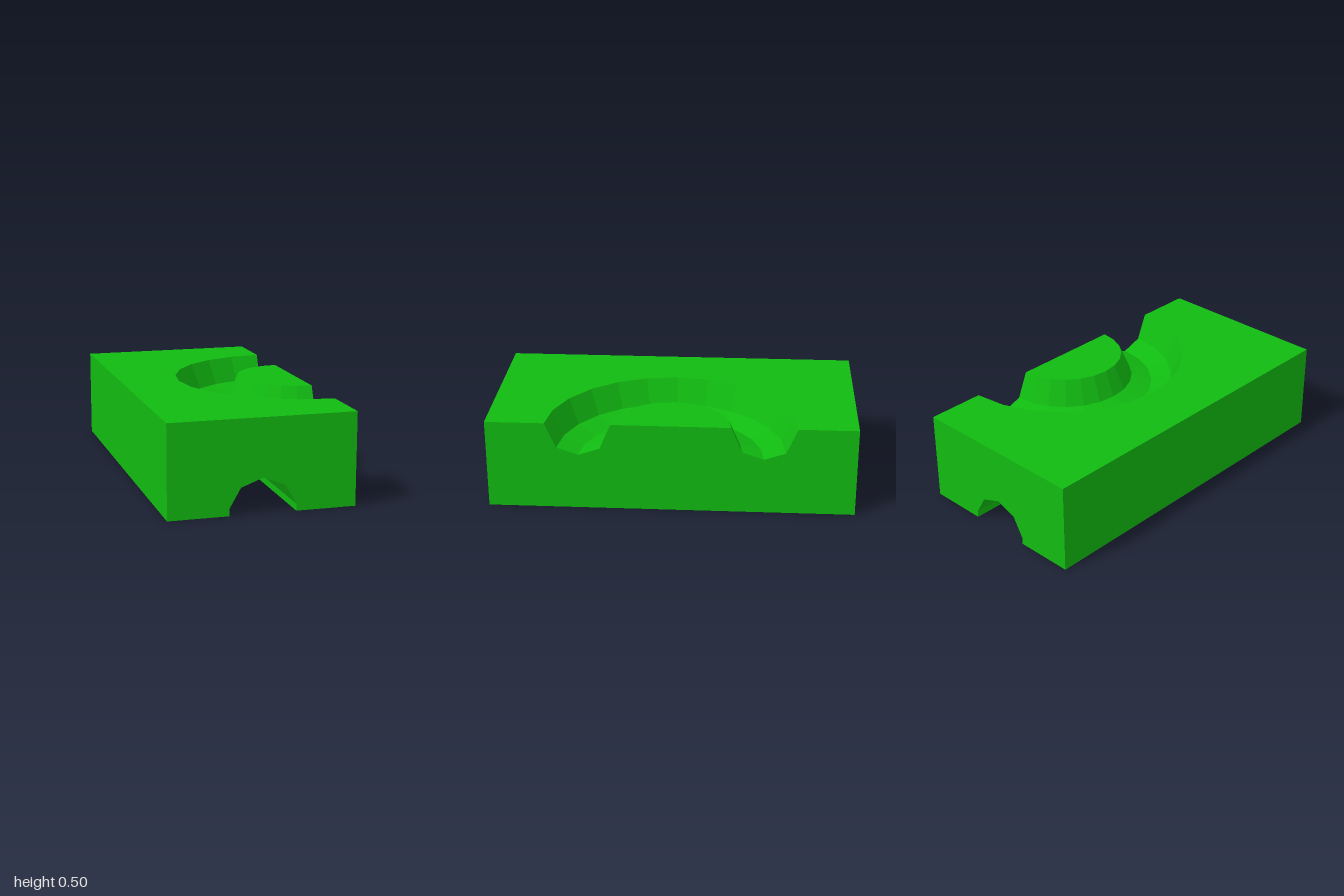
import * as THREE from 'three';

const HEIGHT = 0.5, HALF_W = 0.5, HALF_L = 1;
const ARC_STEPS = 12;

// Channel under the block, from right to left
const channel = [[0.178, 0], [0.178, 0.037], [0.117, 0.144], [0, 0.188], [-0.117, 0.144], [-0.178, 0.037], [-0.178, 0]];
// Curved groove section as [radius, y], from the outer lip to the inner lip
const groove = [[0.678, 0.5], [0.617, 0.358], [0.5, 0.318], [0.383, 0.358], [0.322, 0.5]];

const toShape = (pts) => new THREE.Shape(pts.map(([x, y]) => new THREE.Vector2(x, y)));

// Half ring of points bulging to -x, centred on the +x edge, from +y to -y
function halfRing(radius) {
  return Array.from({ length: ARC_STEPS + 1 }, (_, i) => {
    const a = (i / ARC_STEPS) * Math.PI;
    return [HALF_W - radius * Math.sin(a), radius * Math.cos(a)];
  });
}

// Walls swept along z from an open section
function sweepZ(pts) {
  const pos = [];
  for (let i = 0; i < pts.length - 1; i++) {
    const a = pts[i], b = pts[i + 1], L = HALF_L;
    pos.push(...a, -L, ...b, L, ...b, -L, ...a, -L, ...a, L, ...b, L);
  }
  const geo = new THREE.BufferGeometry();
  geo.setAttribute('position', new THREE.Float32BufferAttribute(pos, 3));
  geo.computeVertexNormals();
  return geo;
}

export function createModel() {
  const model = new THREE.Group();
  model.name = 'groovedBlock';
  const material = new THREE.MeshStandardMaterial({ color: 0x11bb11, flatShading: true });
  const add = (name, geometry) => {
    const mesh = new THREE.Mesh(geometry, material);
    mesh.name = name;
    model.add(mesh);
    return mesh;
  };

  // End faces with the channel opening
  const end = toShape([[HALF_W, 0], [HALF_W, HEIGHT], [-HALF_W, HEIGHT], [-HALF_W, 0], ...channel.slice().reverse()]);
  add('frontFace', new THREE.ShapeGeometry(end)).position.z = HALF_L;
  add('backFace', new THREE.ShapeGeometry(end).rotateY(Math.PI)).position.z = -HALF_L;

  // Underside, channel and closed side
  add('undersideRight', sweepZ([[HALF_W, 0], channel[0]]));
  add('channel', sweepZ(channel));
  add('undersideLeft', sweepZ([channel[6], [-HALF_W, 0]]));
  add('closedSide', sweepZ([[-HALF_W, 0], [-HALF_W, HEIGHT]]));

  // Open side, notched where the groove runs out
  const section = groove.map(([r, y]) => [r, y]);
  const mirrored = groove.slice().reverse().map(([r, y]) => [-r, y]);
  const side = toShape([[-HALF_L, 0], [HALF_L, 0], [HALF_L, HEIGHT], ...section, ...mirrored, [-HALF_L, HEIGHT]]);
  add('openSide', new THREE.ShapeGeometry(side).rotateY(Math.PI / 2)).position.x = HALF_W;

  // Top around the groove, and the island inside it
  const outer = toShape([[HALF_W, HALF_L], [-HALF_W, HALF_L], [-HALF_W, -HALF_L], [HALF_W, -HALF_L],
    ...halfRing(groove[0][0]).reverse()]);
  const island = toShape(halfRing(groove[4][0]));
  add('topFace', new THREE.ShapeGeometry(outer).rotateX(-Math.PI / 2)).position.y = HEIGHT;
  add('islandTop', new THREE.ShapeGeometry(island).rotateX(-Math.PI / 2)).position.y = HEIGHT;

  // Faceted half-circle groove
  const profile = groove.map(([r, y]) => new THREE.Vector2(r, y));
  add('curvedGroove', new THREE.LatheGeometry(profile, ARC_STEPS, Math.PI, Math.PI)).position.x = HALF_W;

  return model;
}
